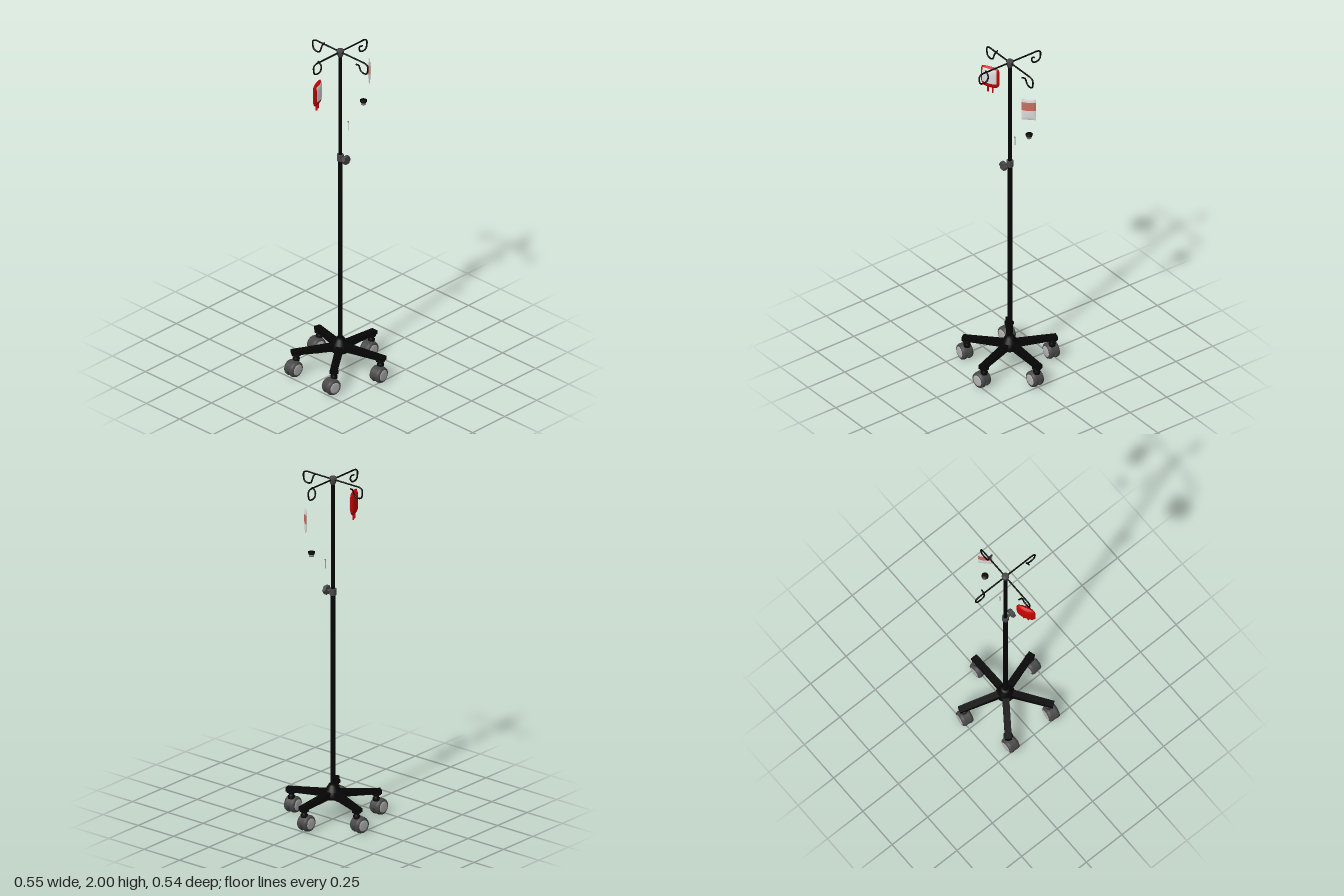
import * as THREE from 'three';

export function createModel() {
  const model = new THREE.Group();
  model.name = 'dripStand';

  const mat = (name, color) => {
    const m = new THREE.MeshStandardMaterial({ color });
    m.name = name;
    return m;
  };
  const black = mat('black', 0x050505);
  const darkGrey = mat('darkGrey', 0x474748);
  const midGrey = mat('midGrey', 0x7c7c7c);
  const capGrey = mat('capGrey', 0xb4b4b4);
  const red = mat('bagRed', 0xc80404);
  const white = mat('labelWhite', 0xdedede);
  const salmon = mat('bandSalmon', 0xcc7060);

  const add = (parent, name, geo, material, x = 0, y = 0, z = 0) => {
    const m = new THREE.Mesh(geo, material);
    m.name = name;
    m.position.set(x, y, z);
    parent.add(m);
    return m;
  };
  const group = (parent, name, x = 0, y = 0, z = 0) => {
    const g = new THREE.Group();
    g.name = name;
    g.position.set(x, y, z);
    parent.add(g);
    return g;
  };
  const cyl = (rTop, rBottom, h, n = 24) => new THREE.CylinderGeometry(rTop, rBottom, h, n);
  const lathe = (pts, n = 32) => new THREE.LatheGeometry(pts.map(p => new THREE.Vector2(...p)), n);

  // Poles: wide lower tube, thinner telescopic tube
  const stand = group(model, 'stand', 0.001, 0, 0.003);
  add(stand, 'lowerPole', cyl(0.0135, 0.0135, 1.2), black, 0, 0.73, 0);
  add(stand, 'upperPole', cyl(0.0105, 0.0105, 0.66), black, 0, 1.65, 0);

  // Conical base hub
  add(stand, 'baseHub', lathe([[0, 0.125], [0.048, 0.125], [0.052, 0.135], [0.051, 0.155],
    [0.042, 0.172], [0.027, 0.198], [0.02, 0.208], [0, 0.208]]), black);

  // One twin-wheel caster, axle along x, with a hood over the gap between the wheels
  const wheelGeo = lathe([[0, 0.005], [0.04, 0.005], [0.0445, 0.009], [0.0465, 0.014],
    [0.0455, 0.021], [0.042, 0.03], [0.033, 0.034], [0.031, 0.032], [0, 0.032]]);
  const capGeo = lathe([[0.032, 0.031], [0.031, 0.0345], [0.02, 0.036], [0, 0.036]]);
  const hoodGeo = new THREE.CylinderGeometry(0.046, 0.046, 0.03, 24, 1, false, 0, Math.PI);
  const buildCaster = (parent) => {
    for (const s of [1, -1]) {
      const wheel = group(parent, s > 0 ? 'leftWheel' : 'rightWheel');
      wheel.rotation.z = -s * Math.PI / 2;
      add(wheel, 'tyre', wheelGeo, darkGrey);
      add(wheel, 'hubCap', capGeo, capGrey);
    }
    add(parent, 'axle', cyl(0.034, 0.034, 0.02), darkGrey).rotation.z = Math.PI / 2;
    add(parent, 'casterHood', hoodGeo, darkGrey).rotation.z = Math.PI / 2;
  };

  // Five legs, each with a swivelling caster: [x, z, yaw] per wheel pair
  const LEG = 0.27;
  const casters = [[0, -0.226, 0], [0.235, -0.058, 0.1], [0.143, 0.218, -0.13],
    [-0.143, 0.218, 0], [-0.237, -0.059, -0.13]];
  casters.forEach(([cx, cz, yaw], i) => {
    const a = -Math.PI / 2 + (i * Math.PI * 2) / 5;

    const legGeo = new THREE.BoxGeometry(LEG, 0.022, 0.038);
    const p = legGeo.attributes.position;
    for (let k = 0; k < p.count; k++) {
      const inner = p.getX(k) < 0;
      p.setY(k, p.getY(k) > 0 ? (inner ? 0.172 : 0.148) : (inner ? 0.132 : 0.126));
    }
    legGeo.translate(LEG / 2, 0, 0);
    legGeo.computeVertexNormals();
    add(stand, 'leg', legGeo, black).rotation.y = -a;

    add(stand, 'casterStem', lathe([[0, 0.085], [0.018, 0.085], [0.02, 0.1], [0.014, 0.106],
      [0.014, 0.115], [0.026, 0.12], [0.026, 0.129], [0, 0.129]], 20), black,
    Math.cos(a) * 0.243, 0, Math.sin(a) * 0.243);
    const caster = group(stand, 'caster', cx, 0.0465, cz);
    caster.rotation.y = yaw;
    buildCaster(caster);
  });

  // Height clamp with a lobed knob on the left side
  const clamp = group(stand, 'heightClamp', 0, 1.328, 0);
  add(clamp, 'collar', cyl(0.019, 0.019, 0.036), darkGrey);
  add(clamp, 'clampBolt', cyl(0.008, 0.008, 0.03, 12), darkGrey, 0.027, 0, 0).rotation.z = Math.PI / 2;
  const knobShape = new THREE.Shape();
  for (let k = 0; k <= 48; k++) {
    const t = (k / 48) * Math.PI * 2, r = 0.0235 + 0.002 * Math.cos(6 * t);
    knobShape[k ? 'lineTo' : 'moveTo'](r * Math.cos(t), r * Math.sin(t));
  }
  const knob = add(clamp, 'knob', new THREE.ExtrudeGeometry(knobShape, {
    depth: 0.014, bevelEnabled: true, bevelSize: 0.002, bevelThickness: 0.003, bevelSegments: 2,
  }), darkGrey, 0.037, 0, 0);
  knob.rotation.y = Math.PI / 2;

  // Top cap and four hooks
  add(stand, 'topCap', lathe([[0, 1.955], [0.012, 1.955], [0.019, 1.972], [0.02, 1.994],
    [0.017, 2], [0, 2]]), darkGrey);
  const hookCurve = new THREE.CatmullRomCurve3([
    [0, 1.985, 0], [0.08, 1.985, 0], [0.15, 1.985, 0], [0.19, 1.984, 0], [0.206, 1.974, 0],
    [0.208, 1.95, 0], [0.2, 1.926, 0], [0.178, 1.919, 0], [0.156, 1.926, 0],
    [0.147, 1.946, 0.001], [0.146, 1.962, 0.008], [0.146, 1.973, 0.025],
  ].map(q => new THREE.Vector3(...q)));
  for (let i = 0; i < 4; i++) {
    const hook = group(stand, 'hook');
    hook.rotation.y = -i * Math.PI / 2;
    add(hook, 'hookRod', new THREE.TubeGeometry(hookCurve, 72, 0.0045, 8), black);
    add(hook, 'hookTip', new THREE.SphereGeometry(0.0048, 10, 8), black, 0.146, 1.973, 0.025);
  }

  // Pillow surface: a flat grid bulged by rule; size is [half width, half height, half depth]
  const pillow = ([w, h, d], corners, [u0, u1, v0, v1], lift) => {
    const g = new THREE.PlaneGeometry(1, 1, 20, 20);
    const p = g.attributes.position;
    for (let k = 0; k < p.count; k++) {
      const u = u0 + (u1 - u0) * (p.getX(k) + 0.5), v = v0 + (v1 - v0) * (p.getY(k) + 0.5);
      const bulge = Math.pow(Math.max(0, 1 - u * u), 0.7) * Math.pow(Math.max(0, 1 - v ** 4), 0.6);
      const corner = corners * (v < 0 ? 0.2 : 0.1);
      p.setXYZ(k, w * u * (1 - corner * v ** 6), h * v * (1 - corner * u ** 6), d * bulge + lift);
    }
    g.computeVertexNormals();
    return g;
  };
  const whole = [-1, 1, -1, 1];

  // Rounded bag with a label on one face and two ports below
  const bag = group(model, 'redBag', 0, 1.797, 0.181);
  bag.rotation.y = Math.PI / 2 + 0.45;
  const bagSize = [0.057, 0.067, 0.02];
  add(bag, 'bagFront', pillow(bagSize, 1, whole, 0), red);
  add(bag, 'bagBack', pillow(bagSize, 1, whole, 0), red).rotation.y = Math.PI;
  add(bag, 'bagLabel', pillow(bagSize, 1, [-0.77, 0.77, -0.47, 0.87], 0.0015), white);
  for (const s of [1, -1]) add(bag, 'bagPort', cyl(0.0045, 0.0045, 0.036, 12), red, s * 0.014, -0.08, 0);

  // Thin pouch with a coloured band on both faces
  const pouch = group(model, 'thinPouch', 0.025, 1.796, -0.199);
  pouch.rotation.y = Math.PI / 2 + 0.78;
  const pouchSize = [0.039, 0.068, 0.006];
  for (const turn of [0, Math.PI]) {
    const face = group(pouch, 'pouchFace');
    face.rotation.y = turn;
    add(face, 'pouchSheet', pillow(pouchSize, 0, whole, 0.0005), white);
    add(face, 'pouchBand', pillow(pouchSize, 0, [-1, 1, -0.09, 0.68], 0.0015), salmon);
  }

  // Small loose fittings: stopper and pin
  const stopper = group(model, 'stopper', 0.004, 0, -0.175);
  add(stopper, 'stopperCap', lathe([[0, 1.602], [0.017, 1.602], [0.019, 1.606],
    [0.02, 1.614], [0, 1.615]], 20), black);
  add(stopper, 'stopperFoot', lathe([[0, 1.588], [0.013, 1.588], [0.014, 1.596],
    [0.008, 1.602], [0, 1.602]], 20), midGrey);
  const pin = group(model, 'pin', 0.008, 0, -0.052);
  add(pin, 'pinShaft', cyl(0.0024, 0.002, 0.055, 8), capGrey, 0, 1.505, 0);
  add(pin, 'pinHead', cyl(0.004, 0.004, 0.006, 10), midGrey, 0, 1.53, 0);

  return model;
}
